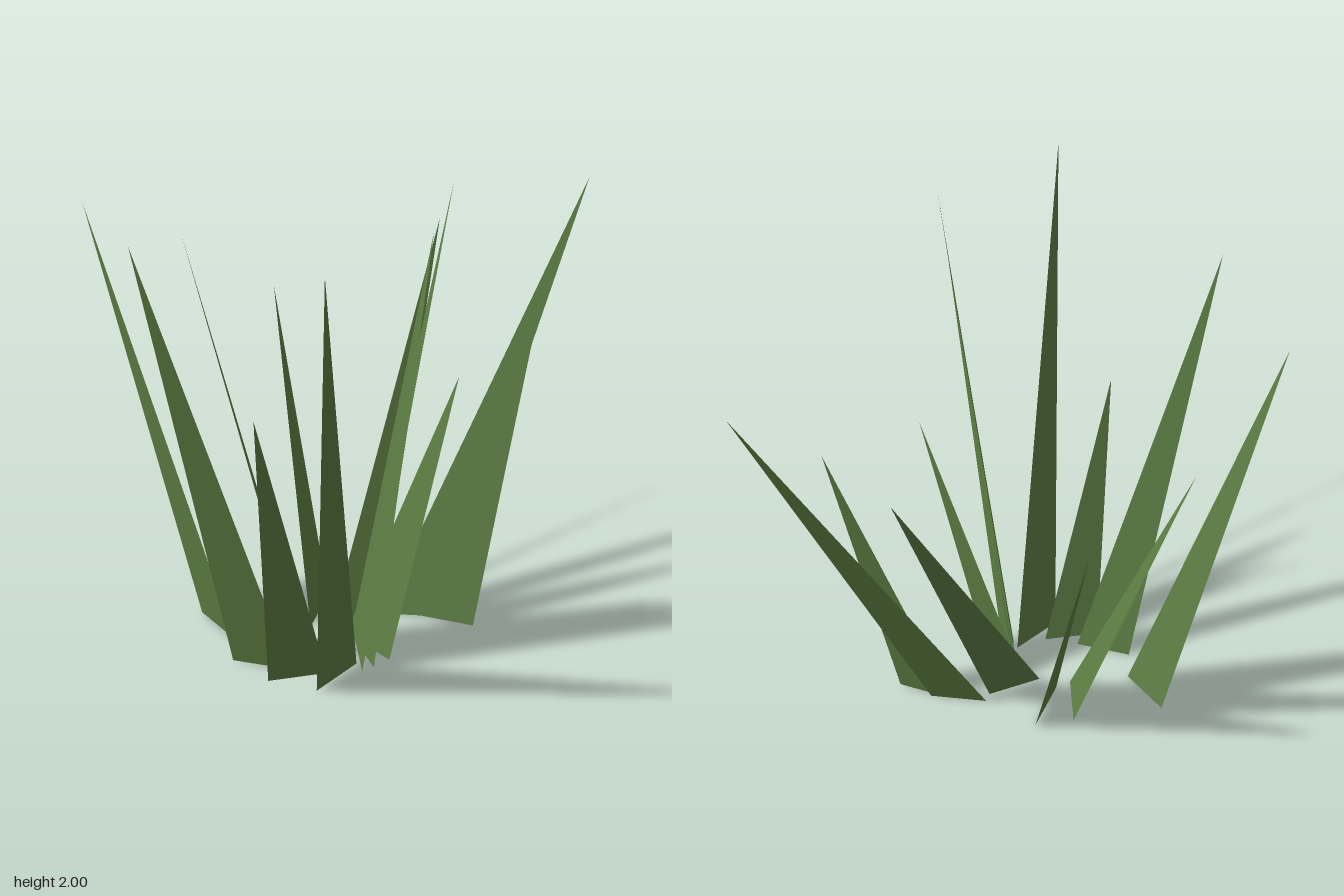
import * as THREE from 'three';

// Each blade: base corner A (x, z), base corner B (x, z), tip (x, y, z)
const BLADES = [
  [0.25, -0.15, 0.455, -0.24, 0.70, 1.65, -0.90],
  [0.60, -0.25, 0.38, -0.21, 0.69, 1.25, -0.475],
  [0.135, 0.07, 0.26, -0.11, 0.162, 1.43, -0.77],
  [0.01, -0.16, 0.05, 0.06, -0.363, 1.18, -0.40],
  [-0.105, -0.06, 0.02, 0.12, -0.605, 1.44, -0.133],
  [-0.37, 0.18, -0.165, 0.27, -0.70, 1.71, 0.335],
  [-0.105, 0.385, 0.11, 0.33, -0.263, 1.77, 0.695],
  [0.24, 0.285, 0.073, 0.43, 0.115, 1.18, 0.575],
  [0.312, 0.18, 0.258, 0.395, 0.55, 1.92, 0.90],
  [0.353, 0.213, 0.225, 0.03, 0.642, 2.0, 0.228],
  [0.38, 0.17, 0.21, 0.03, 0.543, 1.78, 0.14],
  [0.19, 0.035, 0.41, 0.10, 0.577, 1.18, -0.045],
];

// One flat, pointed blade standing on the ground
function makeBlade([ax, az, bx, bz, tx, ty, tz], material) {
  const geometry = new THREE.BufferGeometry().setFromPoints([
    new THREE.Vector3(ax, 0, az),
    new THREE.Vector3(bx, 0, bz),
    new THREE.Vector3(tx, ty, tz),
  ]);
  geometry.computeVertexNormals();
  return new THREE.Mesh(geometry, material);
}

export function createModel() {
  const group = new THREE.Group();
  group.name = 'grassTuft';
  const green = new THREE.MeshStandardMaterial({ color: 0x5f8045, side: THREE.DoubleSide });
  green.name = 'grassGreen';

  // Ring of blades leaning outwards
  BLADES.forEach((data, i) => {
    const blade = makeBlade(data, green);
    blade.name = `grassBlade${i + 1}`;
    group.add(blade);
  });
  return group;
}
